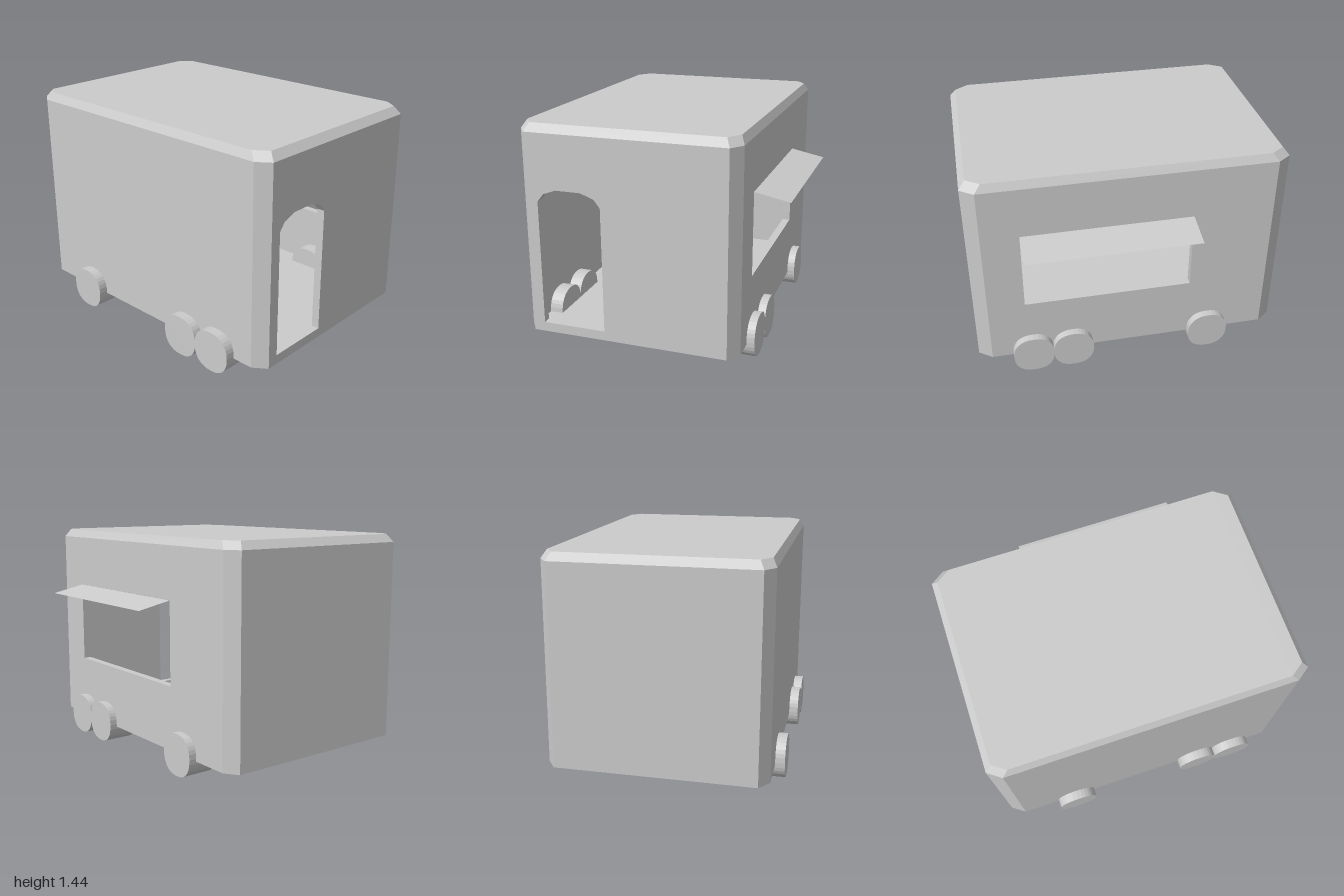
import * as THREE from 'three';
import { ConvexGeometry } from 'three/addons/geometries/ConvexGeometry.js';

const BASE = 0.12, EAVES = 1.39, TOP = 1.44, WALL = 0.05;
const Z_MID = 0.075; // middle of the body along z

export function createModel() {
  const group = new THREE.Group();
  const mat = new THREE.MeshStandardMaterial({ color: 0xcccccc, flatShading: true });
  const smooth = new THREE.MeshStandardMaterial({ color: 0xcccccc });
  const sheet = new THREE.MeshStandardMaterial({ color: 0xcccccc, side: THREE.DoubleSide });

  const add = (name, geometry, material = mat) => {
    const mesh = new THREE.Mesh(geometry, material);
    mesh.name = name;
    group.add(mesh);
    return mesh;
  };

  // Footprint with cut corners, anticlockwise seen from above: [x, z]
  const footprint = (inset) => {
    const x = 1 - inset, z = 0.685 - inset * 0.65, cx = 0.085, cz = 0.06;
    return [
      [-x + cx, z], [x - cx, z], [x, z - cz], [x, -z + cz],
      [x - cx, -z], [-x + cx, -z], [-x, -z + cz], [-x, z - cz],
    ].map(([px, pz]) => [px, pz + Z_MID]);
  };
  const ring = (inset, y) => footprint(inset).map(([x, z]) => new THREE.Vector3(x, y, z));

  // Openings, measured along their wall from its starting corner
  const doorHole = [
    [0.07, 0.18], [0.475, 0.18], [0.475, 0.97], [0.435, 1.02],
    [0.35, 1.05], [0.19, 1.05], [0.11, 1.02], [0.07, 0.97],
  ];
  const windowHole = [[0.235, 0.53], [1.315, 0.53], [1.315, 1.06], [0.235, 1.06]];

  // Walls: one thick panel for each side of the footprint
  const walls = [
    ['frontWall'], ['frontLeftCorner'], ['doorWall', doorHole], ['backLeftCorner'],
    ['servingWall', windowHole], ['backRightCorner'], ['rightWall'], ['frontRightCorner'],
  ];
  const corners = footprint(0);
  walls.forEach(([name, hole], i) => {
    const a = corners[i], b = corners[(i + 1) % corners.length];
    const dx = b[0] - a[0], dz = b[1] - a[1], len = Math.hypot(dx, dz);
    const shape = new THREE.Shape([[0, BASE], [len, BASE], [len, EAVES], [0, EAVES]]
      .map(([u, v]) => new THREE.Vector2(u, v)));
    if (hole) shape.holes.push(new THREE.Path(hole.map(([u, v]) => new THREE.Vector2(u, v))));
    const geo = new THREE.ExtrudeGeometry(shape, { depth: WALL, bevelEnabled: false });
    geo.translate(0, 0, -WALL);
    const wall = add(name, geo);
    wall.position.set(a[0], 0, a[1]);
    wall.rotation.y = Math.atan2(-dz, dx);
  });

  // Roof with sloped edge, and floor slab
  add('roof', new ConvexGeometry([...ring(0, EAVES), ...ring(0.04, TOP)]));
  add('floor', new ConvexGeometry([...ring(0.03, BASE), ...ring(0.03, BASE + 0.02)]));

  // Awning: thin sheet sloping out from the top of the window
  const awning = add('awning', new THREE.PlaneGeometry(1.08, Math.hypot(0.22, 0.045)), sheet);
  awning.position.set(0.14, 1.037, -0.72);
  awning.rotation.x = -Math.PI / 2 - Math.atan2(0.045, 0.22);

  // Wheels: slightly squared rounds, reaching through the floor
  const R = 0.133, outline = [];
  for (let i = 0; i < 32; i++) {
    const t = (i / 32) * Math.PI * 2, c = Math.cos(t), s = Math.sin(t);
    const bulge = (v) => Math.sign(v) * Math.pow(Math.abs(v), 0.86) * R;
    outline.push(new THREE.Vector2(bulge(c), bulge(s)));
  }
  const wheelGeo = new THREE.ExtrudeGeometry(new THREE.Shape(outline), { depth: 0.195, bevelEnabled: false });
  for (const [side, z] of [['front', 0.625], ['back', -0.66]]) {
    [-0.53, 0.382, 0.645].forEach((x, i) => {
      add(`${side}Wheel${i + 1}`, wheelGeo).position.set(x, R + 0.003, z);
    });
  }

  // Round ceiling lamp
  const rim = add('lampRim', new THREE.TorusGeometry(0.085, 0.016, 10, 32), smooth);
  rim.rotation.x = Math.PI / 2;
  rim.position.set(0.03, EAVES - 0.012, 0.06);
  const lens = add('lampLens', new THREE.CylinderGeometry(0.08, 0.08, 0.012, 32), mat);
  lens.position.set(0.03, EAVES - 0.006, 0.06);

  return group;
}
